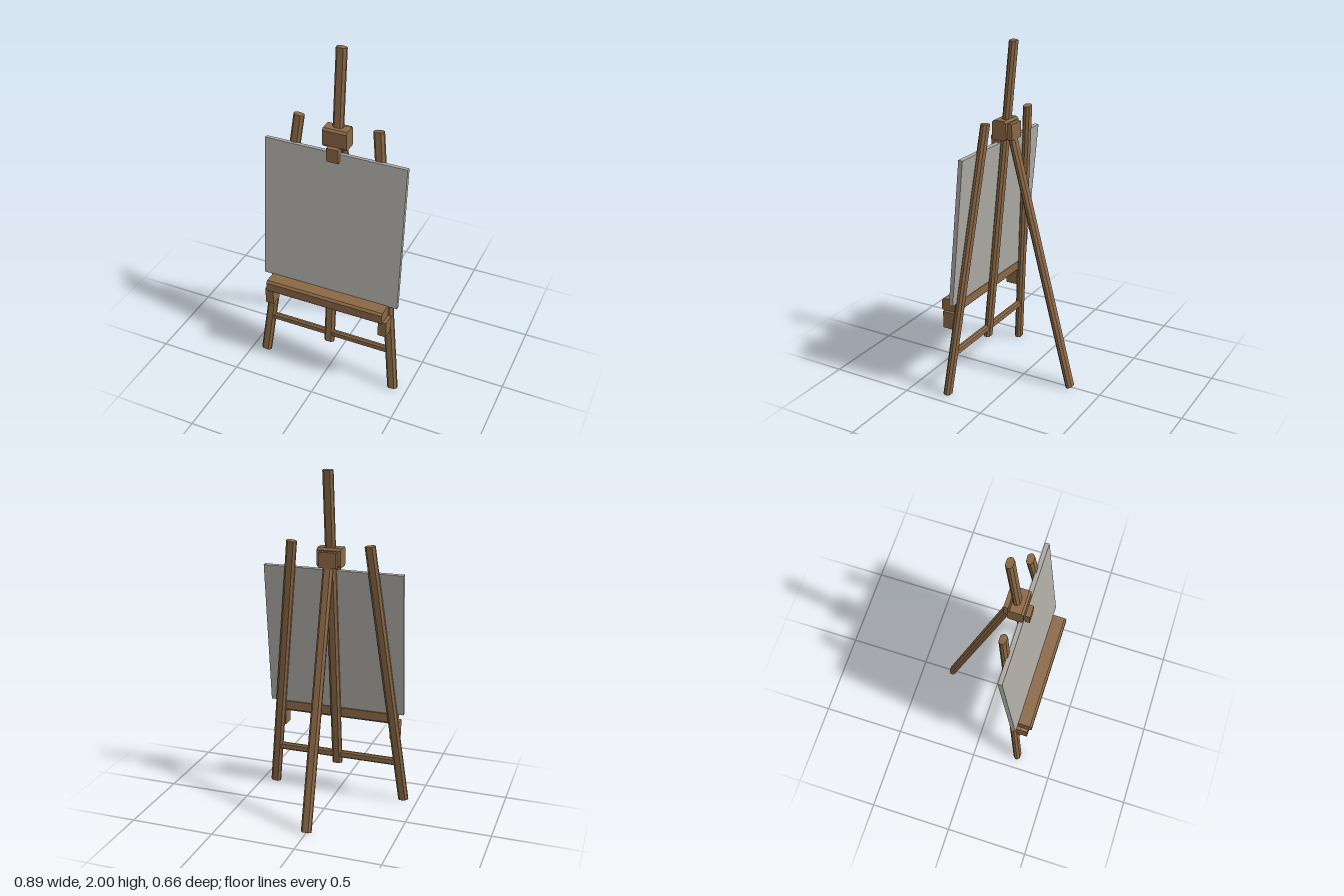
import * as THREE from 'three';

const wood = new THREE.MeshStandardMaterial({ color: 0x8b6845 });
wood.name = 'wood';
const panelGrey = new THREE.MeshStandardMaterial({ color: 0xb0ada6 });
panelGrey.name = 'panel grey';

const X = new THREE.Vector3(1, 0, 0);
const Z = new THREE.Vector3(0, 0, 1);

// Bar with chamfered long edges running from a to b; w is measured along ref, d across it
function bar(name, a, b, w, d, c, ref = X) {
  const start = new THREE.Vector3(...a);
  const dir = new THREE.Vector3(...b).sub(start);
  const length = dir.length();
  dir.normalize();
  const x = w / 2, y = d / 2;
  const section = new THREE.Shape([
    [x, -y + c], [x, y - c], [x - c, y], [-x + c, y],
    [-x, y - c], [-x, -y + c], [-x + c, -y], [x - c, -y],
  ].map(([u, v]) => new THREE.Vector2(u, v)));
  const geometry = new THREE.ExtrudeGeometry(section, { depth: length, bevelEnabled: false });
  const side = ref.clone().addScaledVector(dir, -ref.dot(dir)).normalize();
  const across = dir.clone().cross(side);
  geometry.applyMatrix4(new THREE.Matrix4().makeBasis(side, across, dir).setPosition(start));
  const mesh = new THREE.Mesh(geometry, wood);
  mesh.name = name;
  return mesh;
}

function box(name, size, position, material = wood) {
  const mesh = new THREE.Mesh(new THREE.BoxGeometry(...size), material);
  mesh.name = name;
  mesh.position.set(...position);
  return mesh;
}

export function createModel() {
  const easel = new THREE.Group();
  easel.name = 'easel';

  // Splayed front legs with a shelf bracket on each
  for (const [label, s] of [['left', 1], ['right', -1]]) {
    easel.add(bar(label + 'FrontLeg', [s * 0.415, 0.005, 0.27], [s * 0.23, 1.587, 0.105], 0.06, 0.04, 0.013));
    easel.add(box(label + 'ShelfBracket', [0.05, 0.1, 0.075], [s * 0.355, 0.455, 0.2725]));
  }

  // Central mast and rear leg
  easel.add(bar('mast', [0, 0.2, 0.248], [0, 1.998, 0.062], 0.06, 0.04, 0.013));
  easel.add(bar('rearLeg', [0, 0.005, -0.308], [0, 1.47, 0.073], 0.06, 0.04, 0.013));

  // Crossbar and shelf
  easel.add(bar('crossbar', [-0.375, 0.257, 0.243], [0.375, 0.257, 0.243], 0.03, 0.045, 0.009, Z));
  easel.add(bar('shelf', [-0.36, 0.538, 0.277], [0.36, 0.538, 0.277], 0.105, 0.076, 0.012, Z));

  // Top clamp: sliding block, rear hinge block and gripping tab
  easel.add(bar('clampBlock', [-0.07, 1.51, 0.118], [0.07, 1.51, 0.118], 0.088, 0.11, 0.012, Z));
  easel.add(box('hingeBlock', [0.1, 0.09, 0.05], [0, 1.502, 0.073]));
  easel.add(box('clampTab', [0.068, 0.08, 0.045], [0, 1.427, 0.166]));

  // Leaning panel
  const panel = box('panel', [0.83, 0.862, 0.025], [0, 1.0, 0.19], panelGrey);
  panel.rotation.x = -0.1;
  easel.add(panel);

  return easel;
}
